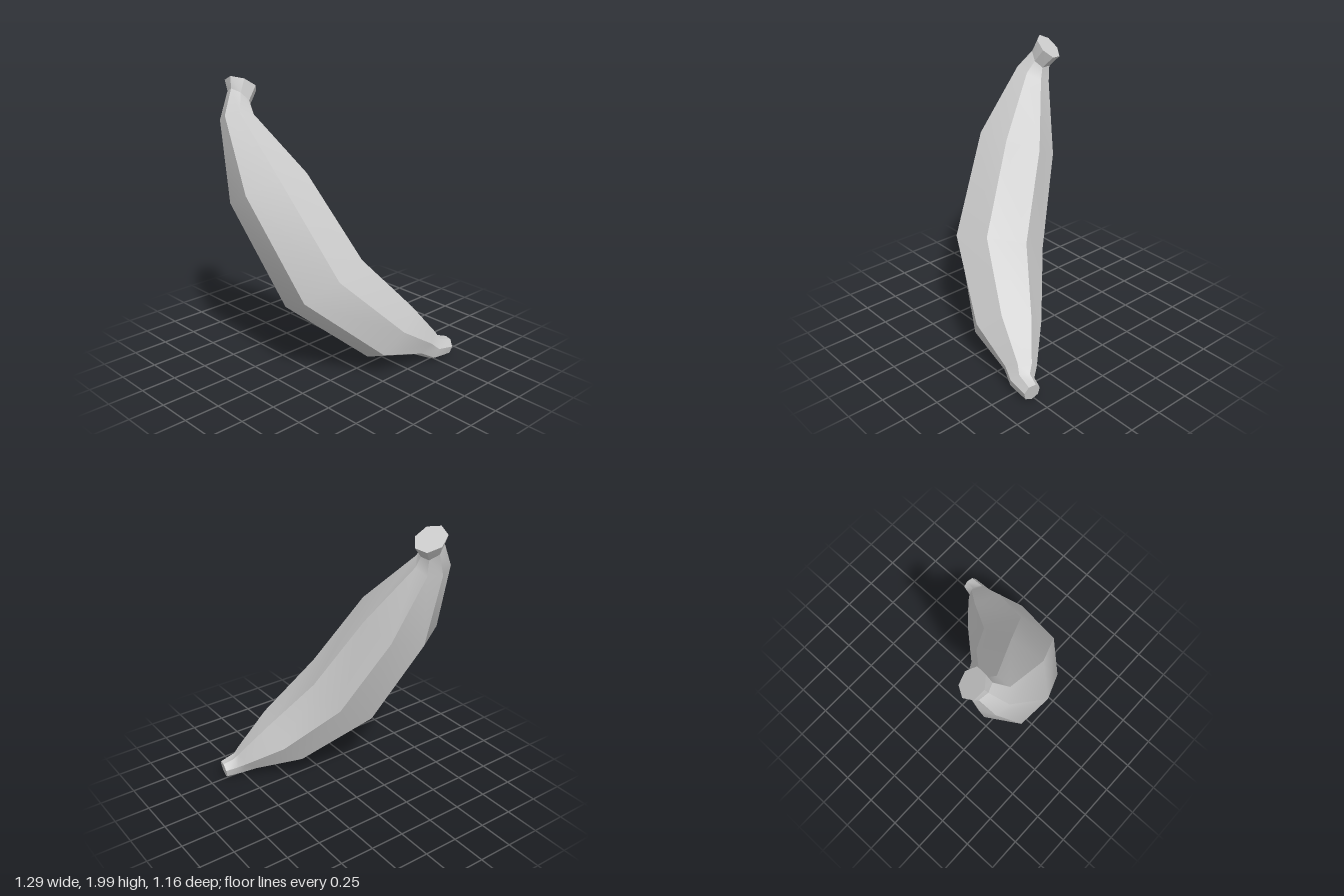
import * as THREE from 'three';

const SIDES = 7;

// Rings from stem end to blossom end: centre, arm to the first ridge, arm a quarter turn on
const RINGS = [
  [[-0.359, 1.934, -0.487], [-0.031, 0.051, 0.077], [0.087, -0.042, 0.056]],
  [[-0.40, 1.857, -0.46], [-0.03, 0.043, 0.06], [0.05, -0.049, 0.054]],
  [[-0.445, 1.735, -0.42], [-0.055, 0.055, 0.095], [0.108, 0.0, 0.05]],
  [[-0.373, 1.293, -0.195], [-0.097, 0.107, 0.23], [0.264, 0.06, 0.073]],
  [[-0.19, 0.683, 0.125], [-0.115, 0.1, 0.27], [0.277, 0.134, 0.053]],
  [[0.191, 0.293, 0.364], [-0.066, 0.06, 0.206], [0.179, 0.17, -0.006]],
  [[0.45, 0.14, 0.47], [-0.035, 0.03, 0.095], [0.087, 0.077, 0.0]],
  [[0.515, 0.088, 0.51], [-0.03, 0.02, 0.07], [0.045, 0.075, -0.01]],
  [[0.632, 0.07, 0.525], [-0.008, 0.01, 0.058], [0.012, 0.062, -0.008]],
];

// Corner k of a ring
function corner([c, u, v], k) {
  const a = (k / SIDES) * Math.PI * 2;
  return c.map((p, i) => p + u[i] * Math.cos(a) + v[i] * Math.sin(a));
}

function geometry(points, index) {
  const g = new THREE.BufferGeometry();
  g.setAttribute('position', new THREE.Float32BufferAttribute(points.flat(), 3));
  g.setIndex(index);
  g.computeVertexNormals();
  return g;
}

// Skin over the rings: smooth along the length, sharp at each ridge
function loft(rings) {
  const points = [], index = [];
  for (let k = 0; k < SIDES; k++) {
    const start = points.length;
    rings.forEach((ring) => points.push(corner(ring, k), corner(ring, k + 1)));
    for (let i = 0; i < rings.length - 1; i++) {
      const a = start + i * 2;
      index.push(a, a + 2, a + 3, a, a + 3, a + 1);
    }
  }
  return geometry(points, index);
}

// Flat end face
function endFace(ring, flip) {
  const points = [ring[0]], index = [];
  for (let k = 0; k < SIDES; k++) {
    points.push(corner(ring, k));
    const a = k + 1, b = ((k + 1) % SIDES) + 1;
    index.push(0, flip ? b : a, flip ? a : b);
  }
  return geometry(points, index);
}

export function createModel() {
  const model = new THREE.Group();
  model.name = 'banana';
  const material = new THREE.MeshStandardMaterial({ color: 0xcccccc });
  const add = (name, geo) => {
    const mesh = new THREE.Mesh(geo, material);
    mesh.name = name;
    model.add(mesh);
  };

  add('stem', loft(RINGS.slice(0, 2)));
  add('stemEnd', endFace(RINGS[0], false));
  add('peel', loft(RINGS.slice(1)));
  add('blossomEnd', endFace(RINGS[RINGS.length - 1], true));
  return model;
}
